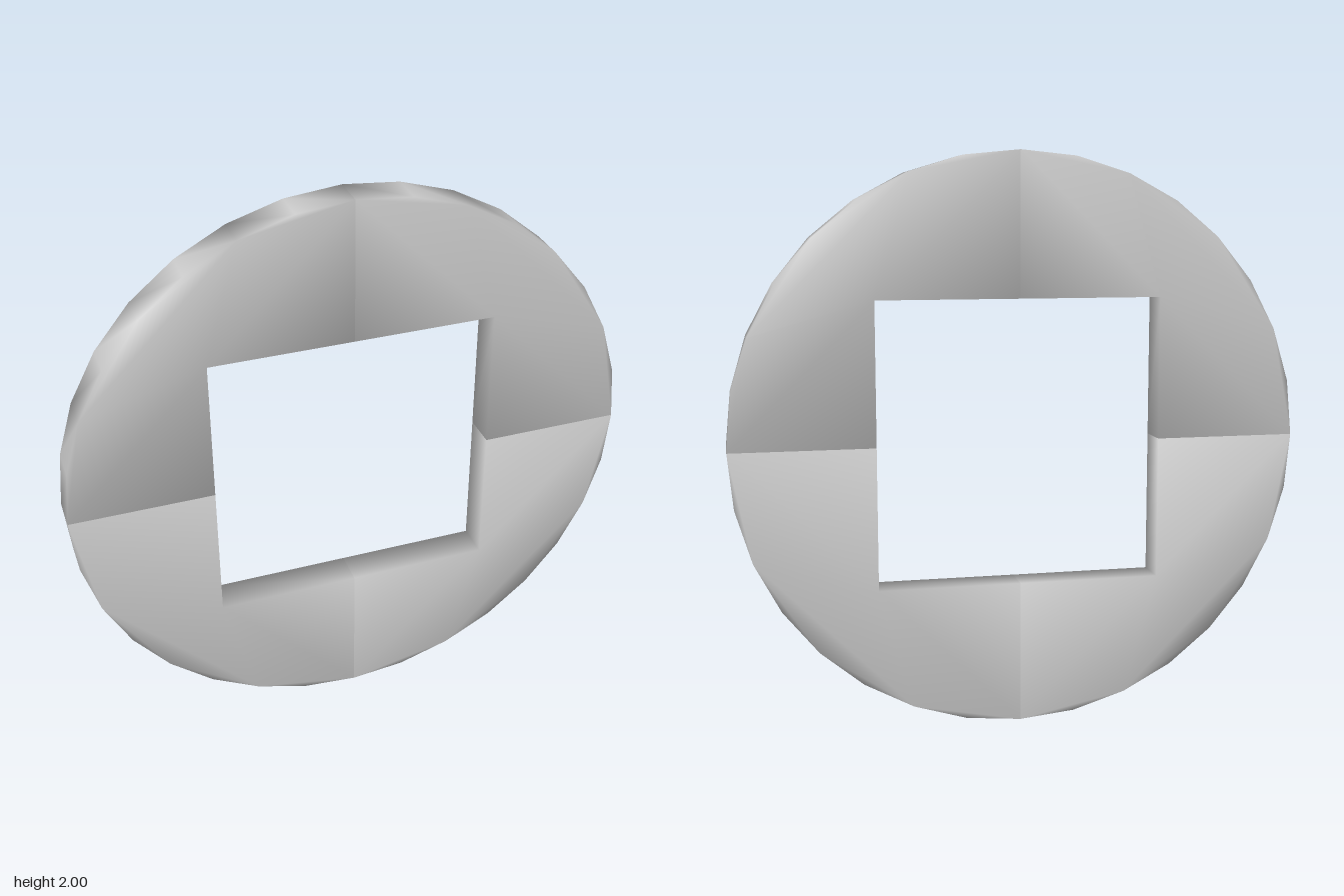
import * as THREE from 'three';
import { mergeVertices } from 'three/addons/utils/BufferGeometryUtils.js';

const RADIUS = 1, HOLE = 0.5, THICKNESS = 0.125, ARC_STEPS = 8;

// One quarter of the disc: outer arc plus one corner of the square hole
function quarterGeometry() {
  const points = [];
  for (let i = 0; i <= ARC_STEPS; i++) {
    const a = (i / ARC_STEPS) * Math.PI / 2;
    points.push(new THREE.Vector2(RADIUS * Math.cos(a), RADIUS * Math.sin(a)));
  }
  points.push(new THREE.Vector2(0, HOLE), new THREE.Vector2(HOLE, HOLE), new THREE.Vector2(HOLE, 0));

  const extruded = new THREE.ExtrudeGeometry(new THREE.Shape(points), { depth: THICKNESS, bevelEnabled: false });
  extruded.translate(0, 0, -THICKNESS / 2);

  // Weld the corners so shading runs smoothly over the edges of each quarter
  extruded.deleteAttribute('uv');
  extruded.deleteAttribute('normal');
  const welded = mergeVertices(extruded, 1e-4);
  welded.computeVertexNormals();
  return welded;
}

export function createModel() {
  const group = new THREE.Group();
  group.name = 'squareHoleDisc';
  const material = new THREE.MeshStandardMaterial({ color: 0xcccccc });
  const geometry = quarterGeometry();

  // Four identical quarters turned about the centre
  for (let i = 0; i < 4; i++) {
    const quarter = new THREE.Mesh(geometry, material);
    quarter.name = `discQuarter${i + 1}`;
    quarter.position.y = RADIUS;
    quarter.rotation.z = i * Math.PI / 2;
    group.add(quarter);
  }
  return group;
}
